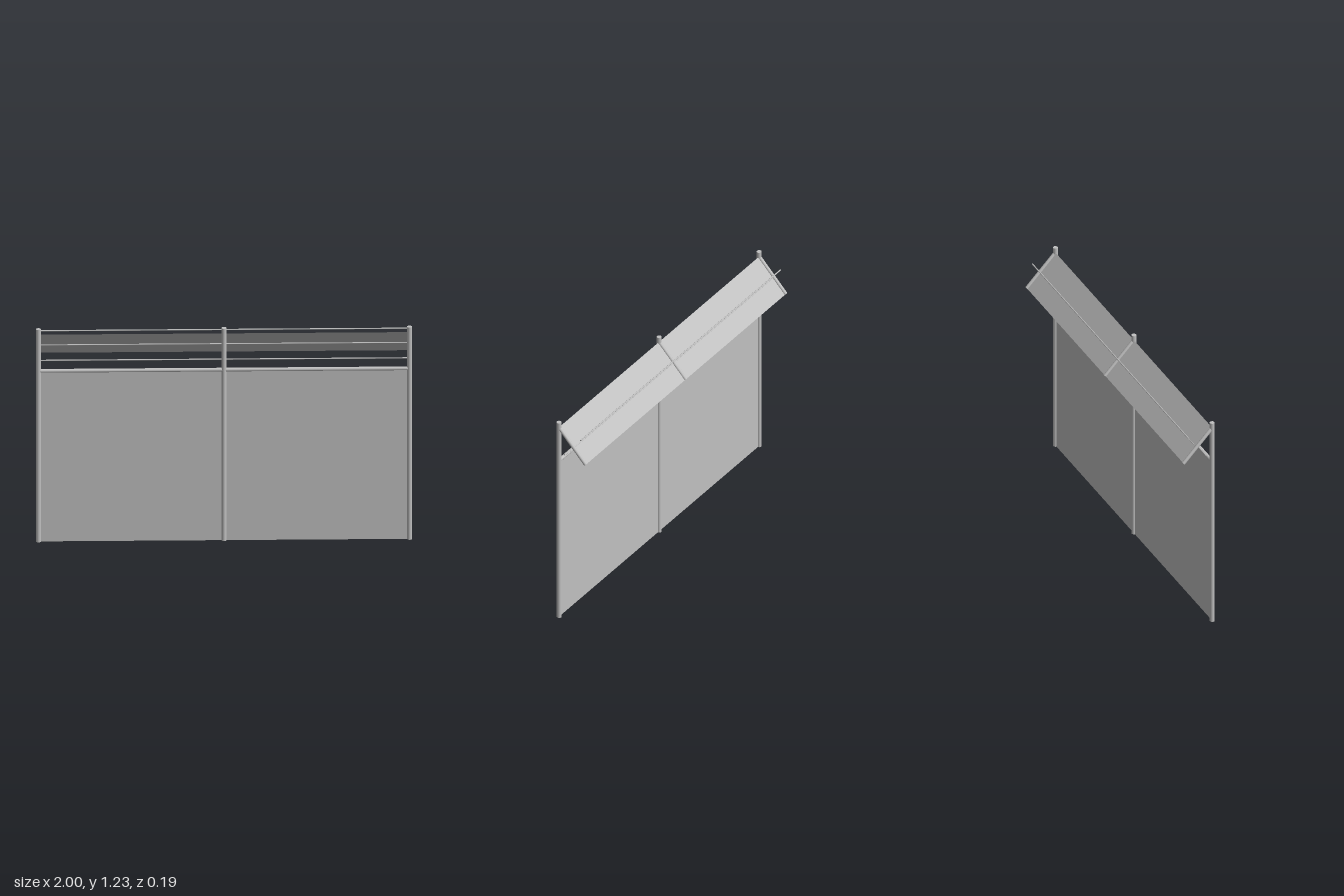
import * as THREE from 'three';

export function createModel() {
  const group = new THREE.Group();
  const metal = new THREE.MeshStandardMaterial({ color: 0xc0c0c0 });
  metal.name = 'light grey';
  metal.side = THREE.DoubleSide;

  const HALF = 0.986;      // distance from centre to outer posts
  const POST_Z = 0.082;
  const RAIL_Y = 0.99;
  const armTop = [1.2, POST_Z];     // y, z
  const armEnd = [1.021, -0.086];

  // Round bar between two points
  function bar(name, a, b, radius, sides = 20) {
    const from = new THREE.Vector3(...a), to = new THREE.Vector3(...b);
    const dir = to.clone().sub(from);
    const mesh = new THREE.Mesh(new THREE.CylinderGeometry(radius, radius, dir.length(), sides), metal);
    mesh.position.copy(from).add(to).multiplyScalar(0.5);
    mesh.quaternion.setFromUnitVectors(new THREE.Vector3(0, 1, 0), dir.normalize());
    mesh.name = name;
    group.add(mesh);
  }

  // Thin sheet hung between two horizontal edges given as [y, z]
  function sheet(name, top, bottom) {
    const dy = top[0] - bottom[0], dz = top[1] - bottom[1];
    const mesh = new THREE.Mesh(new THREE.PlaneGeometry(2 * HALF, Math.hypot(dy, dz)), metal);
    mesh.position.set(0, (top[0] + bottom[0]) / 2, (top[1] + bottom[1]) / 2);
    mesh.rotation.x = Math.atan2(dz, dy);
    mesh.name = name;
    group.add(mesh);
  }

  // Posts, each with a sloping arm leaning backwards
  for (const x of [-HALF, 0, HALF]) {
    bar('post', [x, 0, POST_Z], [x, 1.232, POST_Z], 0.0135, 24);
    bar('overhangArm', [x, ...armTop], [x, ...armEnd], 0.01);
  }

  // Rail along the top of the fence
  bar('topRail', [-HALF, RAIL_Y, POST_Z], [HALF, RAIL_Y, POST_Z], 0.01);

  // Fence panel and sloping overhang panel
  sheet('fencePanel', [RAIL_Y, POST_Z], [0, POST_Z]);
  sheet('overhangPanel', armTop, armEnd);

  // Tension wires: above, just under and below the overhang
  for (const [y, z] of [[1.163, -0.053], [1.1, -0.009], [1.035, 0.047]]) {
    bar('wire', [-HALF, y, z], [HALF, y, z], 0.0035, 10);
  }

  return group;
}
